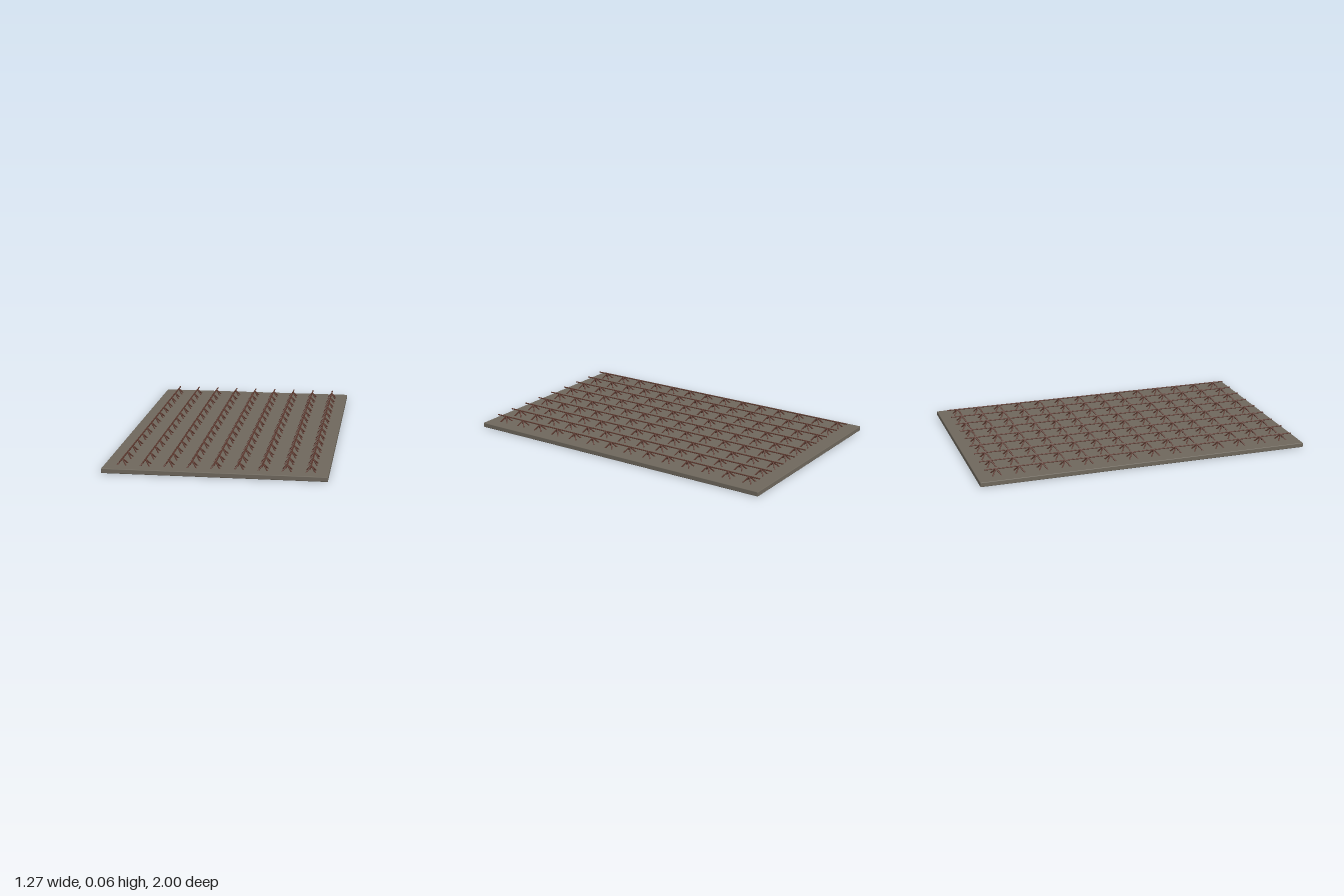
import * as THREE from 'three';
import { mergeGeometries } from 'three/addons/utils/BufferGeometryUtils.js';
import { RoundedBoxGeometry } from 'three/addons/geometries/RoundedBoxGeometry.js';

const ROWS = 9, TIES = 14;
const ROW_STEP = 0.1337, TIE_STEP = 0.137;
const SLAB_TOP = 0.028, APEX = 0.061, SPREAD = 0.028, RADIUS = 0.004;

// round bar between two points
function bar(a, b, radius) {
  const dir = b.clone().sub(a);
  const geometry = new THREE.CylinderGeometry(radius, radius, dir.length(), 8);
  const turn = new THREE.Quaternion().setFromUnitVectors(
    new THREE.Vector3(0, 1, 0), dir.clone().normalize());
  geometry.applyQuaternion(turn);
  const mid = a.clone().add(b).multiplyScalar(0.5);
  return geometry.translate(mid.x, mid.y, mid.z);
}

export function createModel() {
  const model = new THREE.Group();
  model.name = 'reinforcedSlab';
  const concrete = new THREE.MeshStandardMaterial({ color: 0x6e675c });
  const steel = new THREE.MeshStandardMaterial({ color: 0x5c382e });

  // concrete slab with slightly eased edges
  const slab = new THREE.Mesh(new RoundedBoxGeometry(1.27, SLAB_TOP, 2, 2, 0.004), concrete);
  slab.position.y = SLAB_TOP / 2;
  slab.name = 'slab';
  model.add(slab);

  // long top bar of a row
  const topBar = bar(new THREE.Vector3(0, APEX, -0.953), new THREE.Vector3(0, APEX, 0.963), RADIUS);

  // four splayed legs under the bar at each tie
  const legs = [];
  for (let i = 0; i < TIES; i++) {
    const z = 0.005 + (i - (TIES - 1) / 2) * TIE_STEP;
    for (const sx of [-1, 1]) {
      for (const sz of [-1, 1]) {
        legs.push(bar(
          new THREE.Vector3(sx * SPREAD, SLAB_TOP - 0.004, z + sz * SPREAD),
          new THREE.Vector3(0, APEX, z), RADIUS));
      }
    }
  }
  const legSet = mergeGeometries(legs);

  // repeat the lattice row across the slab
  for (let i = 0; i < ROWS; i++) {
    const row = new THREE.Group();
    row.name = 'latticeRow' + (i + 1);
    const top = new THREE.Mesh(topBar, steel);
    top.name = 'topBar';
    const feet = new THREE.Mesh(legSet, steel);
    feet.name = 'diagonalLegs';
    row.add(top, feet);
    row.position.x = (i - (ROWS - 1) / 2) * ROW_STEP;
    model.add(row);
  }
  return model;
}
